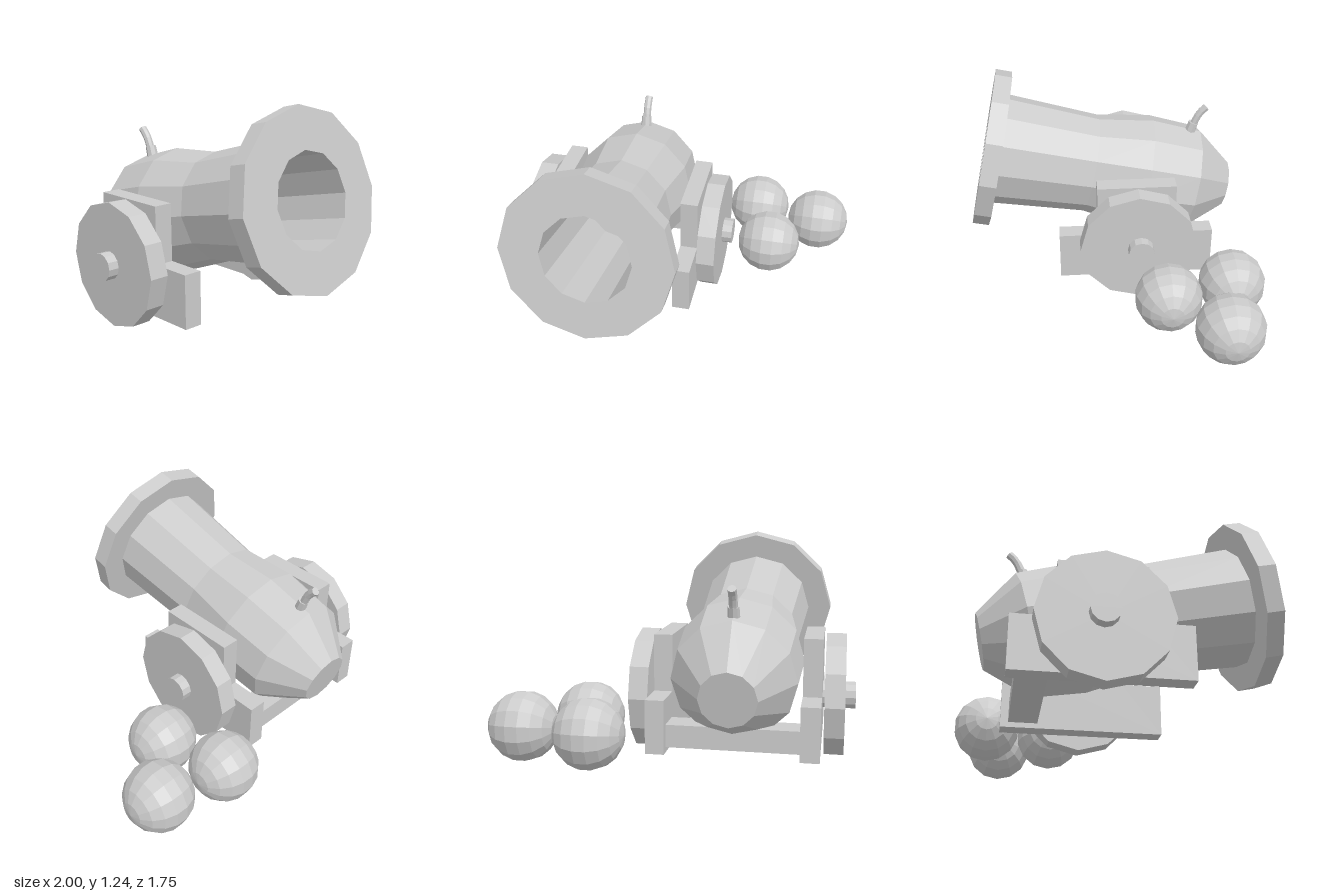
import * as THREE from 'three';

const SIDES = 12;
const CENTRE_X = -0.355; // centre line of the gun and its carriage
const material = new THREE.MeshStandardMaterial({ color: 0xcccccc, flatShading: true });

function add(parent, name, geometry, x = 0, y = 0, z = 0) {
  const mesh = new THREE.Mesh(geometry, material);
  mesh.name = name;
  mesh.position.set(x, y, z);
  parent.add(mesh);
  return mesh;
}

// Cylinder lying along x, with a corner pointing straight up
function disc(radius, width) {
  return new THREE.CylinderGeometry(radius, radius, width, SIDES).rotateZ(Math.PI / 2);
}

// Stepped side cheek, extruded along x
function cheekGeometry(width) {
  const shape = new THREE.Shape();
  const half = [[0.465, 0.08], [0.465, 0.377], [0.235, 0.377], [0.235, 0.697]];
  half.forEach(([z, y], i) => (i ? shape.lineTo(z, y) : shape.moveTo(z, y)));
  [...half].reverse().forEach(([z, y]) => shape.lineTo(-z, y));
  shape.closePath();
  return new THREE.ExtrudeGeometry(shape, { depth: width, bevelEnabled: false })
    .translate(0, 0, -width / 2)
    .rotateY(-Math.PI / 2);
}

export function createModel() {
  const model = new THREE.Group();
  model.name = 'cannon';

  // Barrel: breech, waist, muzzle ring and hollow bore in one turned profile
  const profile = [
    [0, -1.556], [0.156, -1.556], [0.343, -1.317], [0.362, -1.007], [0.31, -0.673],
    [0.343, -0.101], [0.486, -0.101], [0.486, 0], [0.257, 0], [0.257, -0.78], [0, -0.78],
  ].map(([r, y]) => new THREE.Vector2(r, y));
  const barrel = add(model, 'barrel', new THREE.LatheGeometry(profile, SIDES), CENTRE_X, 0.765, 0.768);
  barrel.rotation.x = Math.PI / 2 - 0.218;

  // Fuse and its collar
  const collar = add(model, 'fuseCollar', new THREE.CylinderGeometry(0.031, 0.035, 0.08, 8), CENTRE_X, 0.844, -0.531);
  collar.rotation.x = -0.3;
  const fusePath = new THREE.CatmullRomCurve3([
    [0.86, -0.54], [0.923, -0.567], [0.954, -0.588], [0.983, -0.618],
  ].map(([y, z]) => new THREE.Vector3(CENTRE_X, y, z)));
  add(model, 'fuse', new THREE.TubeGeometry(fusePath, 4, 0.024, 8));
  const tip = add(model, 'fuseTip', new THREE.CircleGeometry(0.024, 8), CENTRE_X, 0.983, -0.618);
  tip.lookAt(tip.position.clone().add(fusePath.getTangent(1)));

  // Carriage sides, wheels and axle stubs, mirrored about the centre line
  for (const side of [1, -1]) {
    const prefix = side > 0 ? 'left' : 'right';
    add(model, prefix + 'Cheek', cheekGeometry(0.104), CENTRE_X + side * 0.413, 0, -0.145);
    add(model, prefix + 'Wheel', disc(0.349, 0.108), CENTRE_X + side * 0.533, 0.349, -0.15);
    add(model, prefix + 'Axle', disc(0.077, 0.2), CENTRE_X + side * 0.547, 0.349, -0.16);
  }
  add(model, 'crossBeam', new THREE.BoxGeometry(0.73, 0.125, 0.165), CENTRE_X, 0.172, -0.4825);

  // Pile of cannonballs, poles along x
  const balls = [[0.4, -0.683], [0.802, -0.597], [0.51, -0.295]];
  balls.forEach(([x, z], i) => {
    const ball = new THREE.SphereGeometry(0.197, 14, 9).rotateZ(Math.PI / 2);
    add(model, 'cannonball' + (i + 1), ball, x, 0.197, z);
  });

  return model;
}
